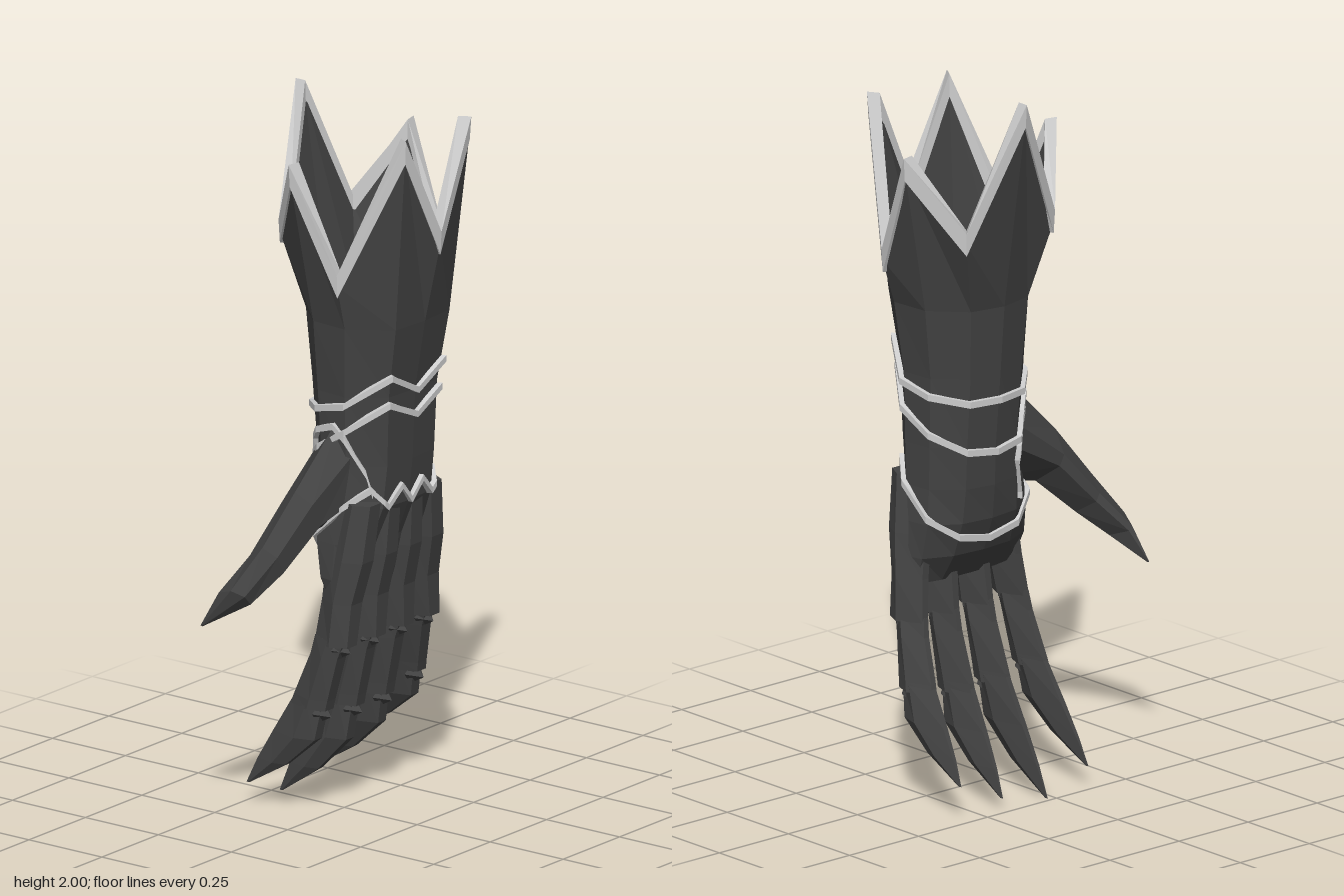
import * as THREE from 'three';

const V = (x, y, z) => new THREE.Vector3(x, y, z);
const lerp = THREE.MathUtils.lerp;

const steel = new THREE.MeshStandardMaterial({ color: 0x434343, flatShading: true });
steel.name = 'dark steel';
const silver = new THREE.MeshStandardMaterial({ color: 0xcccccc, flatShading: true });
silver.name = 'silver trim';

// Repeat a half list (back to front) on the other side
const mirror = (half, flip) => [...half, ...half.slice(1, -1).reverse().map(flip)];

// Crown of the cuff: x from its middle, z, y for peaks and valleys
const CUFF_X = 0.108;
const cuff = mirror([[0, -0.25, 2], [0.16, -0.185, 1.65], [0.277, -0.06, 1.86],
  [0.238, 0.075, 1.56], [0.145, 0.24, 1.95], [0, 0.25, 1.66]], ([x, z, y]) => [-x, z, y])
  .map(([x, z, y]) => V(CUFF_X + x, y, z));

// Arm outline on a unit square, and its size by height: y, middle x, half width, back z, front z
const outline = mirror([[0, -1], [0.52, -0.88], [0.95, -0.36], [1, 0.3], [0.6, 0.95], [0, 1]],
  ([u, v]) => [-u, v]);
const levels = [
  [1.4, 0.1, 0.198, -0.15, 0.2], [1.2, 0.097, 0.178, -0.13, 0.168], [1, 0.1, 0.172, -0.115, 0.157],
  [0.88, 0.095, 0.176, -0.105, 0.147], [0.78, 0.09, 0.188, -0.09, 0.112],
  [0.68, 0.086, 0.194, -0.05, 0.09], [0.6, 0.09, 0.185, 0.005, 0.065],
];

// Point on the arm at column k (0 to 10) and height y, moved outward by grow
function onArm(k, y, grow = 0) {
  let i = 0;
  while (i < levels.length - 2 && y < levels[i + 1][0]) i++;
  const a = levels[i], b = levels[i + 1];
  const t = (y - a[0]) / (b[0] - a[0]);
  const [cx, hx, zb, zf] = [1, 2, 3, 4].map(n => lerp(a[n], b[n], t));
  const j = Math.floor(k), p = outline[j % 10], q = outline[(j + 1) % 10];
  const u = lerp(p[0], q[0], k - j), v = lerp(p[1], q[1], k - j);
  return V(cx + u * (hx + grow), y, (zb + zf) / 2 + v * ((zf - zb) / 2 + grow));
}
const armRing = (y, grow) => outline.map((_, k) => onArm(k, y, grow));

// Skin a row of closed rings
function loft(rings, capStart, capEnd) {
  const pos = [];
  const tri = (...pts) => pts.forEach(p => pos.push(p.x, p.y, p.z));
  const n = rings[0].length;
  for (let i = 0; i < rings.length - 1; i++) {
    for (let j = 0; j < n; j++) {
      const m = (j + 1) % n;
      const a = rings[i][j], b = rings[i][m], c = rings[i + 1][m], d = rings[i + 1][j];
      tri(a, b, d);
      tri(b, c, d);
    }
  }
  const cap = (ring, end) => {
    const mid = ring.reduce((s, p) => s.add(p), V(0, 0, 0)).divideScalar(n);
    ring.forEach((p, j) => {
      const q = ring[(j + 1) % n];
      if (end) tri(mid, p, q); else tri(mid, q, p);
    });
  };
  if (capStart) cap(rings[0], false);
  if (capEnd) cap(rings[rings.length - 1], true);
  const g = new THREE.BufferGeometry();
  g.setAttribute('position', new THREE.Float32BufferAttribute(pos, 3));
  g.computeVertexNormals();
  return g;
}

// Six-sided digit section between two edge points, with a narrow underside
const digitShape = [[0.22, -1], [1, 0.2], [0.5, 1], [-0.5, 1], [-1, 0.2], [-0.22, -1]];
const digitRing = ([ux, uy, lx, ly, zb, zf]) => digitShape.map(([u, v]) =>
  V((ux + lx) / 2 + u * (lx - ux) / 2, (uy + ly) / 2 + u * (ly - uy) / 2,
    (zb + zf) / 2 + v * (zf - zb) / 2));

export function createModel() {
  const model = new THREE.Group();
  const add = (name, geometry, material, parent = model) => {
    const mesh = new THREE.Mesh(geometry, material);
    mesh.name = name;
    parent.add(mesh);
    return mesh;
  };

  // Forearm, wrist and palm in one shell, with a hollow inside
  const inward = (p, s, drop) => V(CUFF_X + (p.x - CUFF_X) * s, p.y - drop, p.z * s);
  add('armShell', loft([cuff.map(p => inward(p, 0.99, 0.03)), ...levels.map(l => armRing(l[0], 0))],
    false, true), steel);
  add('lining', loft([armRing(0.92, -0.025), armRing(1.2, -0.022), armRing(1.4, -0.022),
    cuff.map(p => inward(p, 0.88, 0.03))], true, false), steel);

  // Silver rim following the pointed crown
  const rim = cuff.map(p => [inward(p, 0.985, 0.065), p.clone(), inward(p, 0.87, 0), inward(p, 0.86, 0.065)]);
  add('cuffRim', loft([...rim, rim[0]]), silver);

  // Raised silver bands laid over the arm, as column and height
  const band = (name, path, closed) => {
    const rings = path.map(([k, y]) => {
      const o = onArm(k, y, 0.014), i = onArm(k, y, -0.012), h = 0.009;
      return [V(o.x, y - h, o.z), V(o.x, y + h, o.z), V(i.x, y + h, i.z), V(i.x, y - h, i.z)];
    });
    if (closed) rings.push(rings[0]);
    add(name, loft(rings, !closed, !closed), silver);
  };
  const flip = ([k, y]) => [10 - k, y];
  band('upperWristBand', mirror([[0, 1.13], [1, 1.13], [2, 1.15], [3, 1.175], [4, 1.26], [5, 1.2]], flip), true);
  band('lowerWristBand', mirror([[0, 0.98], [1, 0.99], [2, 1.04], [3, 1.1], [4, 1.18], [5, 1.13]], flip), true);
  band('knuckleBand', mirror([[0, 0.72], [1, 0.74], [2, 0.8], [3, 0.885], [3.65, 0.935], [4, 0.9],
    [4.15, 0.885], [4.6, 0.935], [5, 0.885]], flip), true);
  band('thumbBand', [[6.3, 0.92], [6.5, 0.98], [7, 1.08], [7.4, 1.11], [8, 1.09], [8.6, 1.05],
    [9, 0.96], [9.1, 0.92], [8.9, 0.82]], false);

  // Fingers: x and y at base, first joint, second joint and tip
  const fingers = [
    [[-0.045, 0.9], [-0.095, 0.5], [-0.105, 0.31], [-0.127, 0.06]],
    [[0.045, 0.9], [0.033, 0.5], [0.032, 0.29], [0.02, 0]],
    [[0.142, 0.9], [0.157, 0.5], [0.163, 0.29], [0.182, 0.035]],
    [[0.225, 0.9], [0.272, 0.5], [0.304, 0.32], [0.333, 0.1]],
  ];
  // Each segment: place along it, half width, back z, front z
  const segments = [
    [[0, 0.046, 0.03, 0.142], [0.4, 0.05, 0, 0.132], [0.7, 0.05, -0.005, 0.105], [1, 0.043, -0.02, 0.1]],
    [[-0.08, 0.037, -0.02, 0.085], [0.2, 0.04, -0.033, 0.066], [0.85, 0.038, -0.085, 0.036], [1, 0.038, -0.095, 0.03]],
    [[-0.08, 0.034, -0.088, 0.018], [0.35, 0.034, -0.15, -0.002], [0.7, 0.021, -0.2, -0.1], [1, 0.002, -0.236, -0.226]],
  ];
  fingers.forEach((joints, f) => {
    const finger = new THREE.Group();
    finger.name = 'finger' + (f + 1);
    model.add(finger);
    segments.forEach((rows, s) => {
      const [a, b] = [joints[s], joints[s + 1]];
      const rings = rows.map(([t, w, zb, zf]) => {
        const x = lerp(a[0], b[0], t), y = lerp(a[1], b[1], t);
        return digitRing([x - w, y, x + w, y, zb, zf]);
      });
      add(['proximalPlate', 'middlePlate', 'claw'][s], loft(rings, true, true), steel, finger);
    });
    // Small pyramids over the joints
    [[1, 0.076], [2, 0.018]].forEach(([j, z]) => {
      const stud = add('jointStud', new THREE.ConeGeometry(0.036, 0.04, 4), steel, finger);
      stud.rotation.x = Math.PI / 2 + 0.25;
      stud.position.set(joints[j][0], joints[j][1] - 0.015, z);
    });
  });

  // Thumb: upper edge, lower edge, back z, front z
  add('thumb', loft([
    [-0.05, 1.12, 0.02, 0.85, -0.08, 0.08], [-0.21, 0.95, -0.14, 0.815, -0.075, 0.04],
    [-0.31, 0.81, -0.255, 0.71, -0.1, 0], [-0.383, 0.695, -0.33, 0.64, -0.15, -0.055],
    [-0.385, 0.58, -0.382, 0.575, -0.195, -0.188],
  ].map(digitRing), true, true), steel);

  return model;
}
